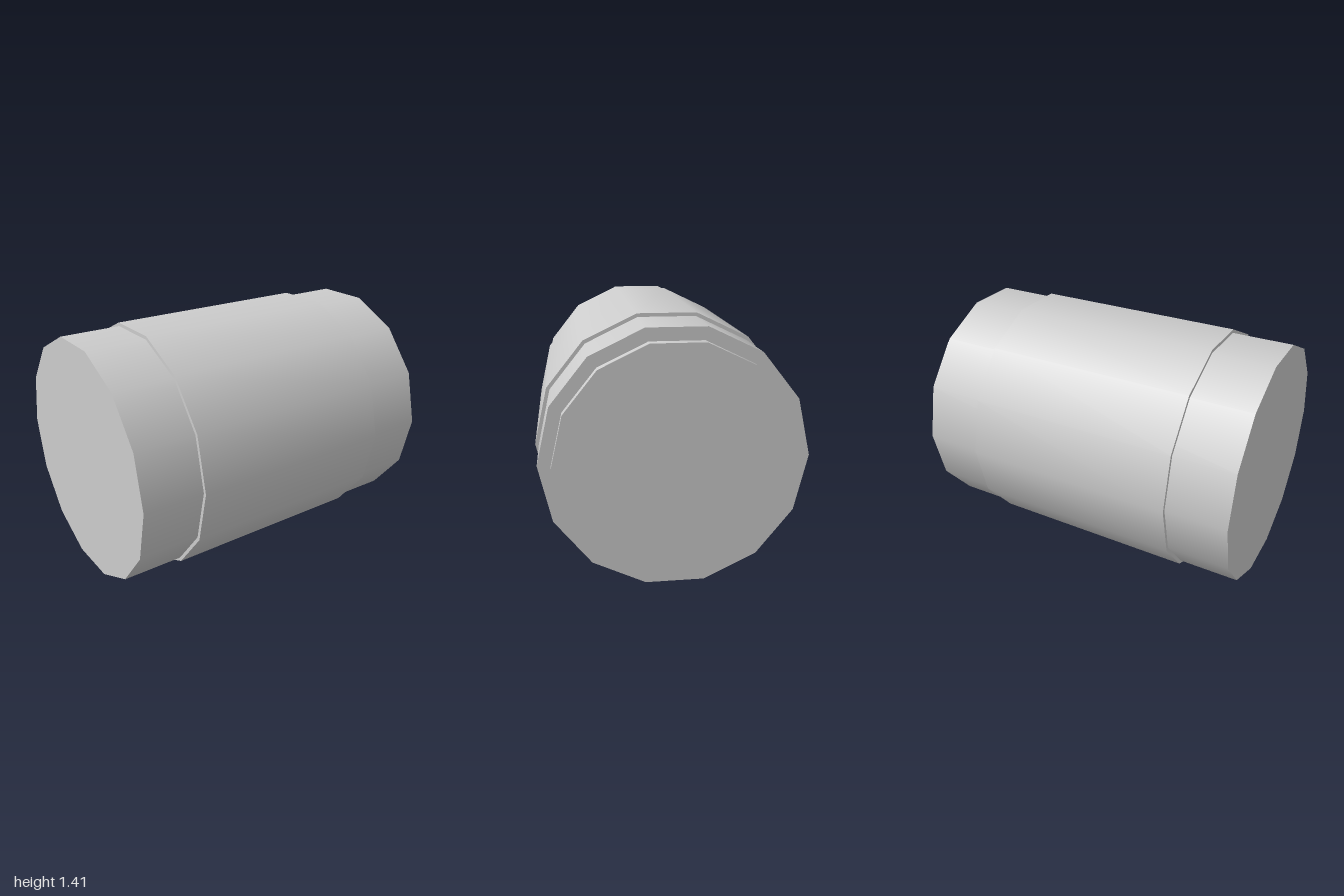
import * as THREE from 'three';

const SIDES = 14;
const BAND_RADIUS = 0.725;
const AXIS_Y = BAND_RADIUS * Math.cos(Math.PI / SIDES); // rests on a flat facet

export function createModel() {
  const group = new THREE.Group();
  group.name = 'canister';

  const grey = new THREE.MeshStandardMaterial({ color: 0xcccccc });
  grey.name = 'light grey';

  // Smooth-sided drum lying along x, from x0 to x1
  const addDrum = (name, radius, x0, x1) => {
    const geometry = new THREE.CylinderGeometry(radius, radius, x1 - x0, SIDES);
    geometry.rotateZ(-Math.PI / 2);
    const mesh = new THREE.Mesh(geometry, grey);
    mesh.name = name;
    mesh.position.set((x0 + x1) / 2, AXIS_Y, 0);
    group.add(mesh);
  };

  addDrum('body', 0.705, -1, 0.942);
  addDrum('raisedBand', BAND_RADIUS, -0.647, 0.59);
  addDrum('endCap', 0.635, 0.9, 1); // seated in the body, stepping out of its left end

  return group;
}
